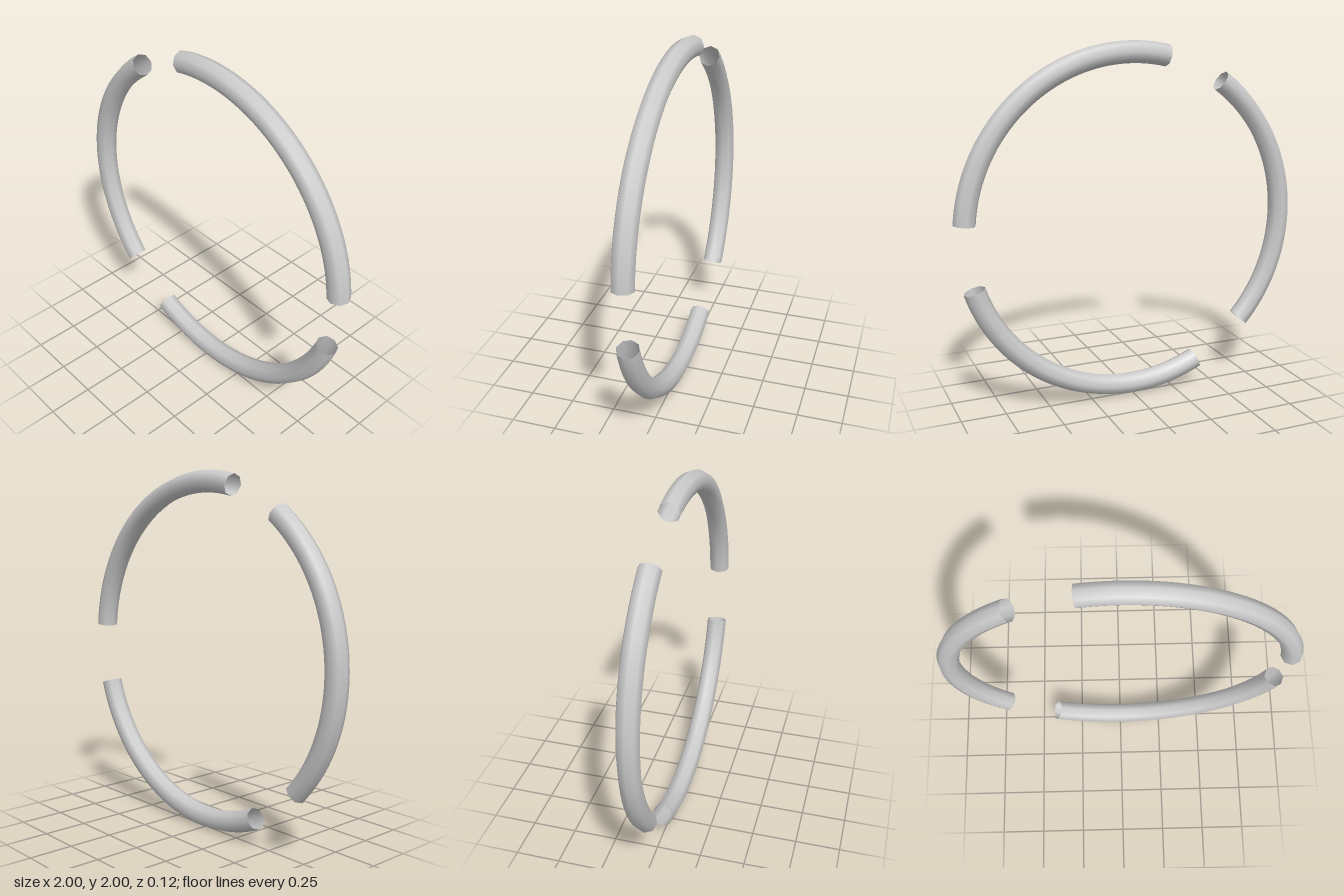
import * as THREE from 'three';

const RING_RADIUS = 0.94;
const TUBE_RADIUS = 0.06;
const START = THREE.MathUtils.degToRad(4.8);
const ARC = THREE.MathUtils.degToRad(98);

export function createModel() {
  const model = new THREE.Group();
  model.name = 'segmentedRing';

  // Open-ended tubes, so the inside walls must show too
  const material = new THREE.MeshStandardMaterial({ color: 0xcccccc, side: THREE.DoubleSide });
  const geometry = new THREE.TorusGeometry(RING_RADIUS, TUBE_RADIUS, 8, 40, ARC);

  // Three equal arcs spaced a third of a turn apart
  ['upperArc', 'rightArc', 'lowerArc'].forEach((name, i) => {
    const arc = new THREE.Mesh(geometry, material);
    arc.name = name;
    arc.position.y = RING_RADIUS + TUBE_RADIUS;
    arc.rotation.z = START + (i * Math.PI * 2) / 3;
    model.add(arc);
  });

  return model;
}
